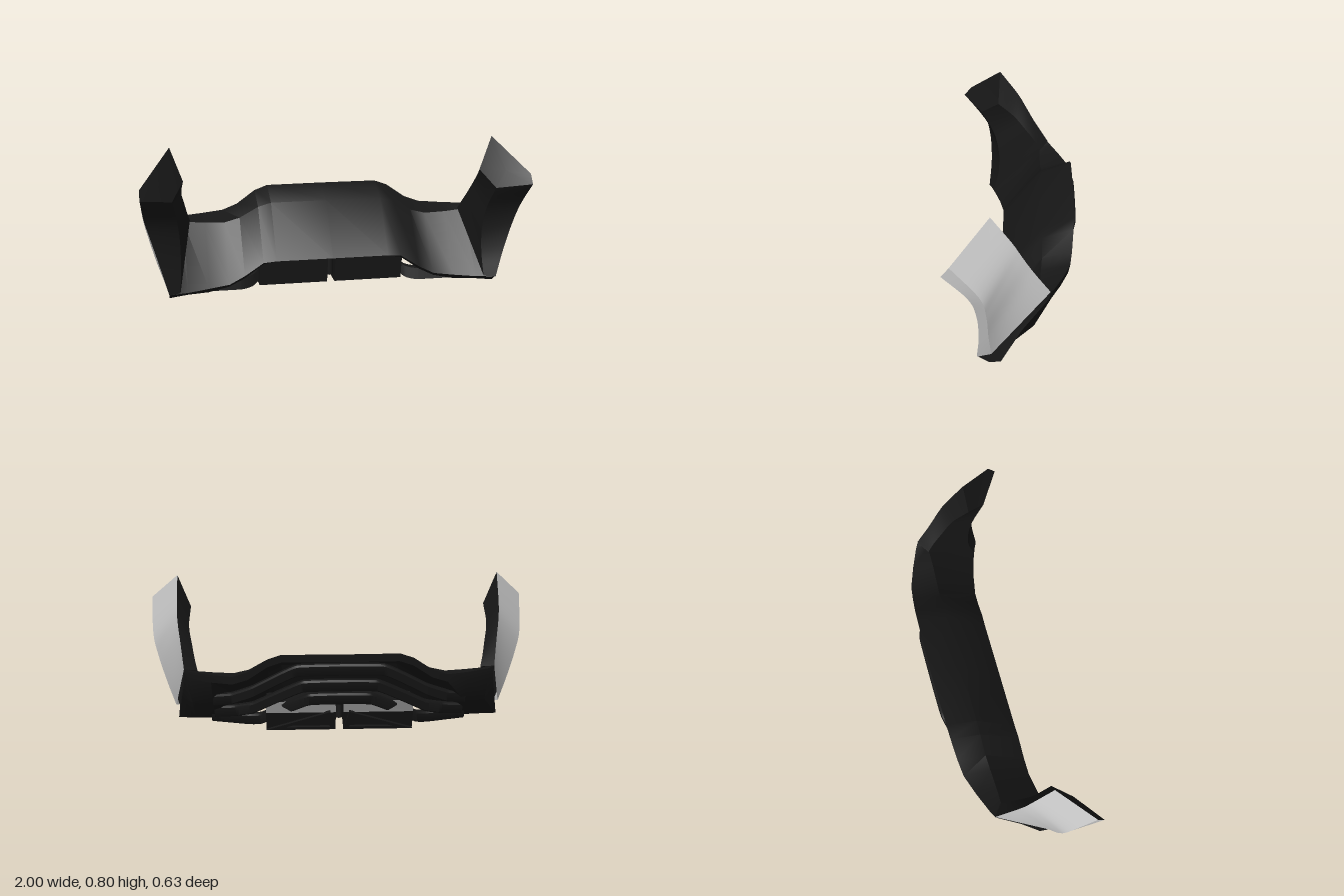
import * as THREE from 'three';
import { toCreasedNormals } from 'three/addons/utils/BufferGeometryUtils.js';

const black = new THREE.MeshStandardMaterial({ color: 0x171717, side: THREE.DoubleSide });
const grey = new THREE.MeshStandardMaterial({ color: 0xcccccc, side: THREE.DoubleSide });

// Skin a row of cross-sections; closed rings get end caps and outward winding
function loft(rings, closed = true, crease = 0.6) {
  const n = rings[0].length, index = [];
  for (let i = 0; i < rings.length - 1; i++) {
    for (let j = 0; j < (closed ? n : n - 1); j++) {
      const a = i * n + j, b = i * n + (j + 1) % n;
      index.push(a, b, a + n, b, b + n, a + n);
    }
  }
  const last = (rings.length - 1) * n;
  if (closed) {
    for (let j = 1; j < n - 1; j++) {
      index.push(0, j + 1, j, last, last + j, last + j + 1);
    }
    const p = rings.flat().map((v) => new THREE.Vector3(...v));
    let volume = 0;
    for (let k = 0; k < index.length; k += 3) {
      volume += p[index[k]].dot(p[index[k + 1]].clone().cross(p[index[k + 2]]));
    }
    if (volume < 0) index.reverse();
  }
  const g = new THREE.BufferGeometry();
  g.setAttribute('position', new THREE.Float32BufferAttribute(rings.flat(2), 3));
  g.setIndex(index);
  return toCreasedNormals(g, crease);
}

const mirror = (ring, s) => ring.map(([x, y, z]) => [x * s, y, z]);
const spline = (points, count, tension) => new THREE.CatmullRomCurve3(
  points.map((p) => new THREE.Vector3(...p)), false, 'catmullrom', tension)
  .getPoints(count).map((v) => v.toArray());
const mix = (a, b, t) => a.map((v, k) => v + (b[k] - v) * t);

export function createModel() {
  const model = new THREE.Group();
  const add = (name, geometry, material = black) => {
    const mesh = new THREE.Mesh(geometry, material);
    mesh.name = name;
    model.add(mesh);
    return mesh;
  };

  // Folded main shell: x, front edge, fold, top back edge, bottom back edge (y, z each), hollow of the back
  const stations = [
    [0, 0.17, 0.07, 0.435, -0.14, 0.495, -0.305, 0.165, 0.02, 0.04],
    [0.3, 0.17, 0.07, 0.435, -0.14, 0.495, -0.3, 0.165, 0.02, 0.04],
    [0.37, 0.165, 0.072, 0.415, -0.14, 0.47, -0.297, 0.155, 0.025, 0.03],
    [0.47, 0.1, 0.075, 0.36, -0.14, 0.4, -0.288, 0.085, 0.03, 0.02],
    [0.55, 0.06, 0.08, 0.34, -0.135, 0.372, -0.278, 0.045, 0.03, 0.01],
    [0.66, 0.05, 0.1, 0.345, -0.13, 0.37, -0.24, 0.022, 0.035, -0.03],
    [0.77, 0.045, 0.13, 0.355, -0.13, 0.372, -0.195, 0.02, 0.05, -0.03],
  ];
  const half = stations.map(([x, fy, fz, my, mz, ty, tz, by, bz, hollow]) => [
    [x, fy, fz], [x, my, mz], [x, ty, tz], [x, ty - 0.045, tz + 0.01],
    [x, (ty + by) / 2 + hollow, (tz + bz) / 2 + hollow], [x, by, bz], [x, by, bz + 0.035],
  ]);
  half.push([
    [0.865, 0.05, 0.165], [0.8, 0.37, -0.14], [0.795, 0.38, -0.18], [0.795, 0.34, -0.175],
    [0.83, 0.18, -0.045], [0.862, 0.02, 0.055], [0.865, 0.016, 0.11],
  ]);
  const otherHalf = half.slice(1).reverse().map((r) => mirror(r, -1));
  add('mainShell', loft([...otherHalf, ...half]));

  // Swept arm edges, bottom to tip
  const armEdges = [
    [[0.8, 0.38, -0.18], [0.82, 0.5, -0.1], [0.835, 0.592, -0.046], [0.84, 0.67, 0], [0.84, 0.805, 0.1]], // rear
    [[0.878, 0.075, 0.1], [0.92, 0.2, 0.11], [0.962, 0.35, 0.118], [0.988, 0.47, 0.148], [1, 0.635, 0.28]], // outer
    [[0.868, 0.05, 0.17], [0.91, 0.2, 0.157], [0.953, 0.35, 0.165], [0.982, 0.46, 0.202], [1, 0.588, 0.318]], // front
    [[0.81, 0.05, 0.142], [0.802, 0.18, 0.112], [0.802, 0.31, 0.11], [0.815, 0.43, 0.14], [0.84, 0.55, 0.21]], // inner front
    [[0.735, 0.36, -0.135], [0.75, 0.41, -0.1], [0.765, 0.47, -0.05], [0.783, 0.55, 0.02], [0.777, 0.63, 0.11]], // inner rear
  ].map((edge) => spline(edge, 20, 0.5));

  // Rear ribs: flat slanted bands, stepping down from the centre to the outer ends
  const ribs = [
    [[0.22, 0.405, -0.292], [0.45, 0.27, -0.225], [0.56, 0.215, -0.175], [0.66, 0.195, -0.14]],
    [[0.19, 0.31, -0.265], [0.45, 0.145, -0.13], [0.55, 0.11, -0.08], [0.66, 0.095, -0.05]],
    [[0.16, 0.225, -0.23], [0.41, 0.05, -0.045], [0.48, 0.037, -0.02], [0.68, 0.047, 0.01]],
  ];
  const band = [[0.035, -0.016], [0.024, -0.02], [-0.026, -0.005], [-0.034, 0.004], [-0.03, 0.03], [0.03, 0.02]];
  for (const rib of ribs) {
    const path = spline([...mirror(rib, -1).reverse(), ...rib], 84, 0.15);
    add('rearRib', loft(path.map(([x, y, z]) => band.map(([dy, dz]) => [x, y + dy, z + dz]))));
  }

  for (const s of [1, -1]) {
    const side = s > 0 ? 'left' : 'right';
    const sections = armEdges[0].map((_, i) => mirror(armEdges.map((e) => e[i]), s));
    const outer = sections.map(([rear, edge]) => Array.from({ length: 9 }, (_, k) => mix(rear, edge, k / 8)));
    add(side + 'ArmOuterPanel', loft(outer, false, 0.9), grey);
    add(side + 'ArmFrontBevel', loft(sections.map((r) => [r[1], r[2]]), false, 0.9), grey);
    add(side + 'ArmInner', loft(sections.map((r) => [r[2], r[3], r[4], r[0]]), false));
    const tip = sections[20];
    const centre = [0, 1, 2].map((k) => tip.reduce((sum, p) => sum + p[k], 0) / tip.length);
    add(side + 'ArmTip', loft([[...tip, tip[0]], Array(6).fill(centre)], false));

    // Lower panel wedge, reaching forward under the shell
    const wedge = (x) => [
      [x * s, 0.021, -0.12], [x * s, 0.13, -0.175], [x * s, 0.175, -0.13], [x * s, 0.172, 0.035], [x * s, 0.021, 0],
    ];
    add(side + 'LowerPanel', loft([wedge(0.02), wedge(0.385)]));

    // Raised triangular frame leaning with the panel's back
    const frame = new THREE.Shape([[0.02, 0], [0.385, 0], [0.05, 0.122]].map(([x, y]) => new THREE.Vector2(x * s, y)));
    frame.holes.push(new THREE.Path([[0.05, 0.018], [0.28, 0.018], [0.07, 0.094]].map(([x, y]) => new THREE.Vector2(x * s, y))));
    const trim = new THREE.ExtrudeGeometry(frame, { depth: 0.03, bevelEnabled: false });
    trim.applyMatrix4(new THREE.Matrix4().makeShear(0, 0, 0, -0.5, 0, 0));
    trim.computeVertexNormals();
    add(side + 'PanelFrame', trim).position.set(0, 0.02, -0.142);
  }

  // Central strut between the two panels
  add('centreStrut', new THREE.CylinderGeometry(0.019, 0.019, 0.13, 12)).position.set(0, 0.115, -0.04);
  return model;
}
